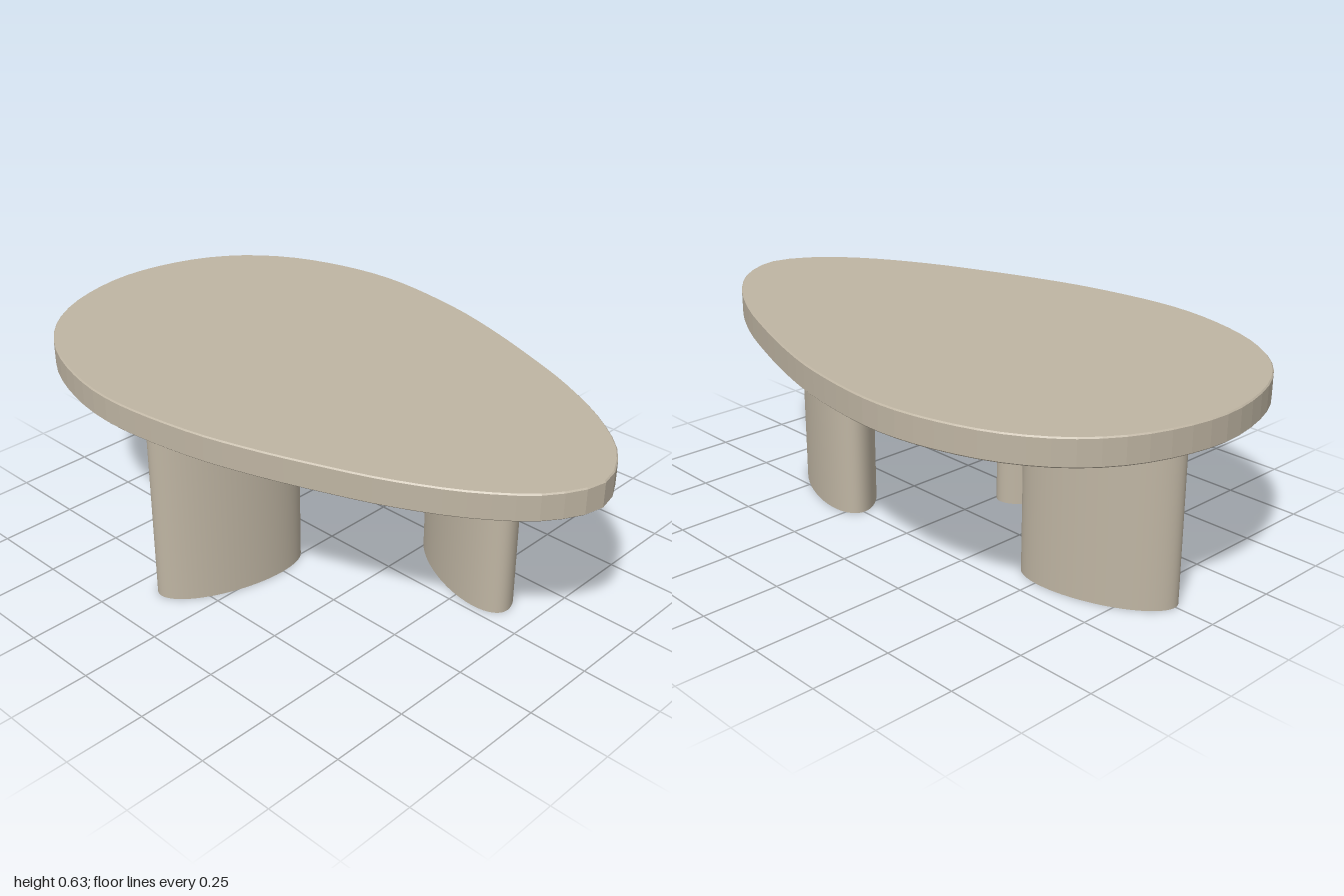
import * as THREE from 'three';

const LEG_TOP = 0.545, TOP_Y = 0.63;

// Half of the egg-shaped outline, from the blunt end to the narrow tip
const HALF = [
  [-0.95, 0.245], [-0.85, 0.405], [-0.7, 0.52], [-0.5, 0.594], [-0.3, 0.62],
  [0, 0.587], [0.2, 0.535], [0.4, 0.466], [0.6, 0.385], [0.8, 0.272], [0.94, 0.145],
];

function createTabletop(material) {
  const outline = [
    [-1, 0], ...HALF, [1, 0], ...HALF.map(([x, z]) => [x, -z]).reverse(),
  ].map(([x, z]) => new THREE.Vector3(x, z, 0));
  const curve = new THREE.CatmullRomCurve3(outline, true, 'centripetal');
  const points = curve.getSpacedPoints(80).slice(0, -1);
  const bevel = 0.004;
  const geometry = new THREE.ExtrudeGeometry(
    new THREE.Shape(points.map((p) => new THREE.Vector2(p.x, p.y))),
    {
      depth: TOP_Y - LEG_TOP - 2 * bevel, bevelEnabled: true, bevelSegments: 1,
      bevelSize: bevel, bevelThickness: bevel, bevelOffset: -bevel,
    },
  );
  geometry.rotateX(-Math.PI / 2);
  geometry.translate(0, LEG_TOP + bevel, 0);
  const mesh = new THREE.Mesh(geometry, material);
  mesh.name = 'tabletop';
  return mesh;
}

// Upright elliptical column; angle turns its long axis from +x towards +z
function createLeg(name, x, z, angle, material) {
  const geometry = new THREE.CylinderGeometry(1, 1, LEG_TOP, 64);
  geometry.scale(0.245, 1, 0.103);
  const mesh = new THREE.Mesh(geometry, material);
  mesh.name = name;
  mesh.position.set(x, LEG_TOP / 2, z);
  mesh.rotation.y = -THREE.MathUtils.degToRad(angle);
  return mesh;
}

export function createModel() {
  const stone = new THREE.MeshStandardMaterial({ color: 0xbfb5a3 });
  stone.name = 'warm stone';
  const table = new THREE.Group();
  table.name = 'coffeeTable';
  table.add(
    createTabletop(stone),
    createLeg('bluntEndLeg', -0.635, -0.065, -18, stone),
    createLeg('frontLeg', -0.09, 0.365, 106, stone),
    createLeg('narrowEndLeg', 0.437, -0.162, 25, stone),
  );
  return table;
}
